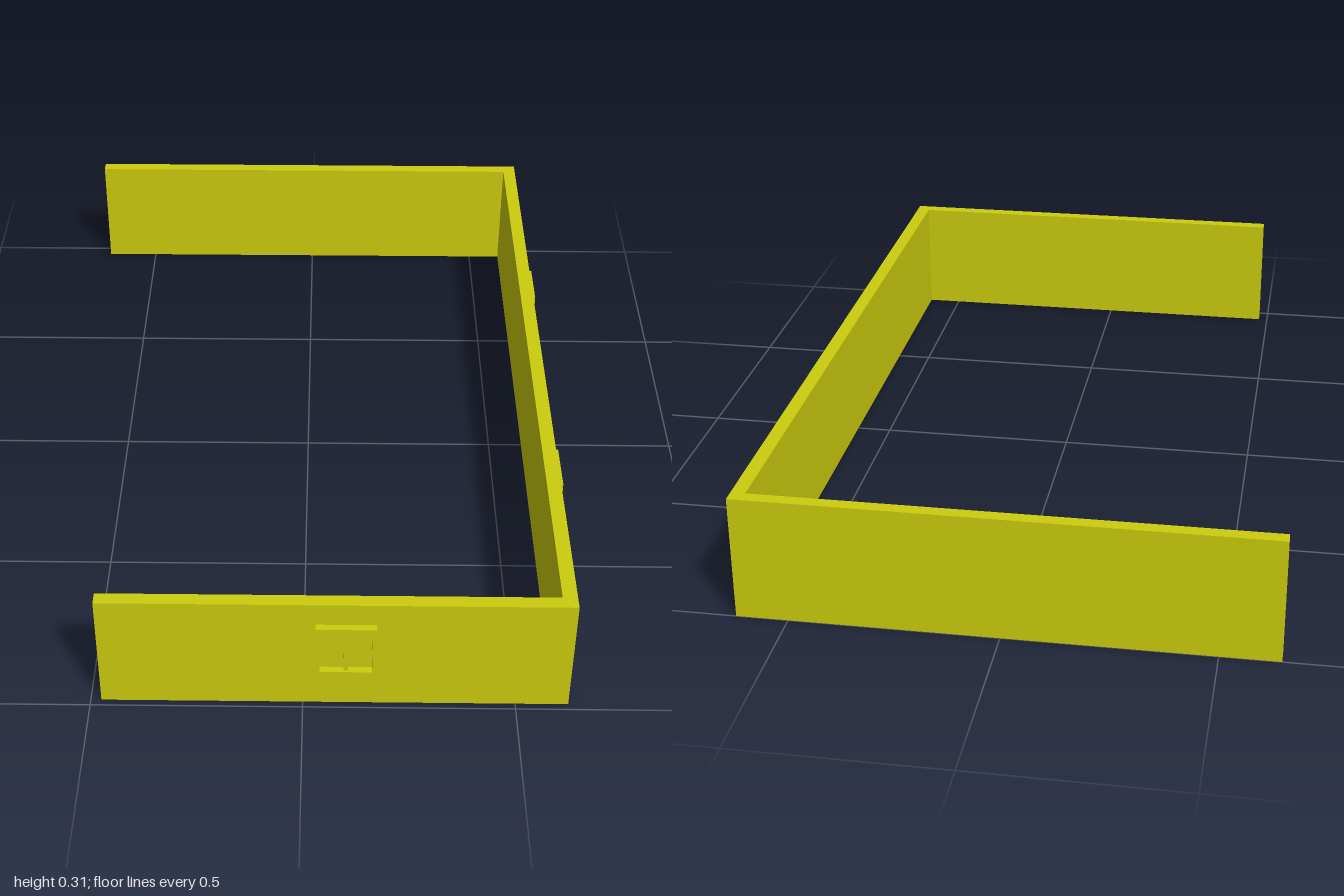
import * as THREE from 'three';

export function createModel() {
  const model = new THREE.Group();
  model.name = 'threeWalls';
  const yellow = new THREE.MeshStandardMaterial({ color: 0xcccc0e, side: THREE.DoubleSide });
  yellow.name = 'yellow';
  const H = 0.31;

  // Wall given by its plan extents
  function wall(name, x0, x1, z0, z1) {
    const geo = new THREE.BoxGeometry(x1 - x0, H, z1 - z0);
    const mesh = new THREE.Mesh(geo, yellow);
    mesh.name = name;
    mesh.position.set((x0 + x1) / 2, H / 2, (z0 + z1) / 2);
    model.add(mesh);
    return mesh;
  }
  wall('frontWall', -0.475, 0.59, 0.95, 0.983);
  wall('sideWall', 0.59, 0.625, -0.967, 0.983);
  const back = wall('backWall', -0.643, 0.625, -1, -0.967);

  // The back wall is a hollow shell, open at its free end and underneath
  const index = Array.from(back.geometry.index.array);
  const open = [1, 3]; // -x and -y faces
  back.geometry.setIndex(index.filter((_, i) => !open.includes(Math.floor(i / 6))));
  back.geometry.clearGroups();

  // Window frame: raised rim with two openings and a central bar
  const w = 0.07, h = 0.0715, rim = 0.009, bar = 0.005;
  const rect = (Type, x0, x1, y0, y1) => new Type([
    new THREE.Vector2(x0, y0), new THREE.Vector2(x1, y0),
    new THREE.Vector2(x1, y1), new THREE.Vector2(x0, y1),
  ]);
  const frame = rect(THREE.Shape, -w, w, -h, h);
  frame.holes.push(rect(THREE.Path, -w + rim, w - rim, -h + rim, h - rim));
  const frameGeo = new THREE.ExtrudeGeometry(frame, { depth: 0.017, bevelEnabled: false });
  const barGeo = new THREE.BoxGeometry(bar * 2, 2 * (h - rim), 0.012).translate(0, 0, 0.006);

  function window(name, x, z, turn) {
    const group = new THREE.Group();
    group.name = name;
    const rimMesh = new THREE.Mesh(frameGeo, yellow);
    rimMesh.name = 'windowFrame';
    const barMesh = new THREE.Mesh(barGeo, yellow);
    barMesh.name = 'windowBar';
    group.add(rimMesh, barMesh);
    group.position.set(x, 0.1785, z);
    group.rotation.y = turn;
    model.add(group);
  }
  window('frontWindow', 0.1, 0.983, 0);
  for (const z of [0.405, -0.43]) window('sideWindow', 0.625, z, Math.PI / 2);

  return model;
}
